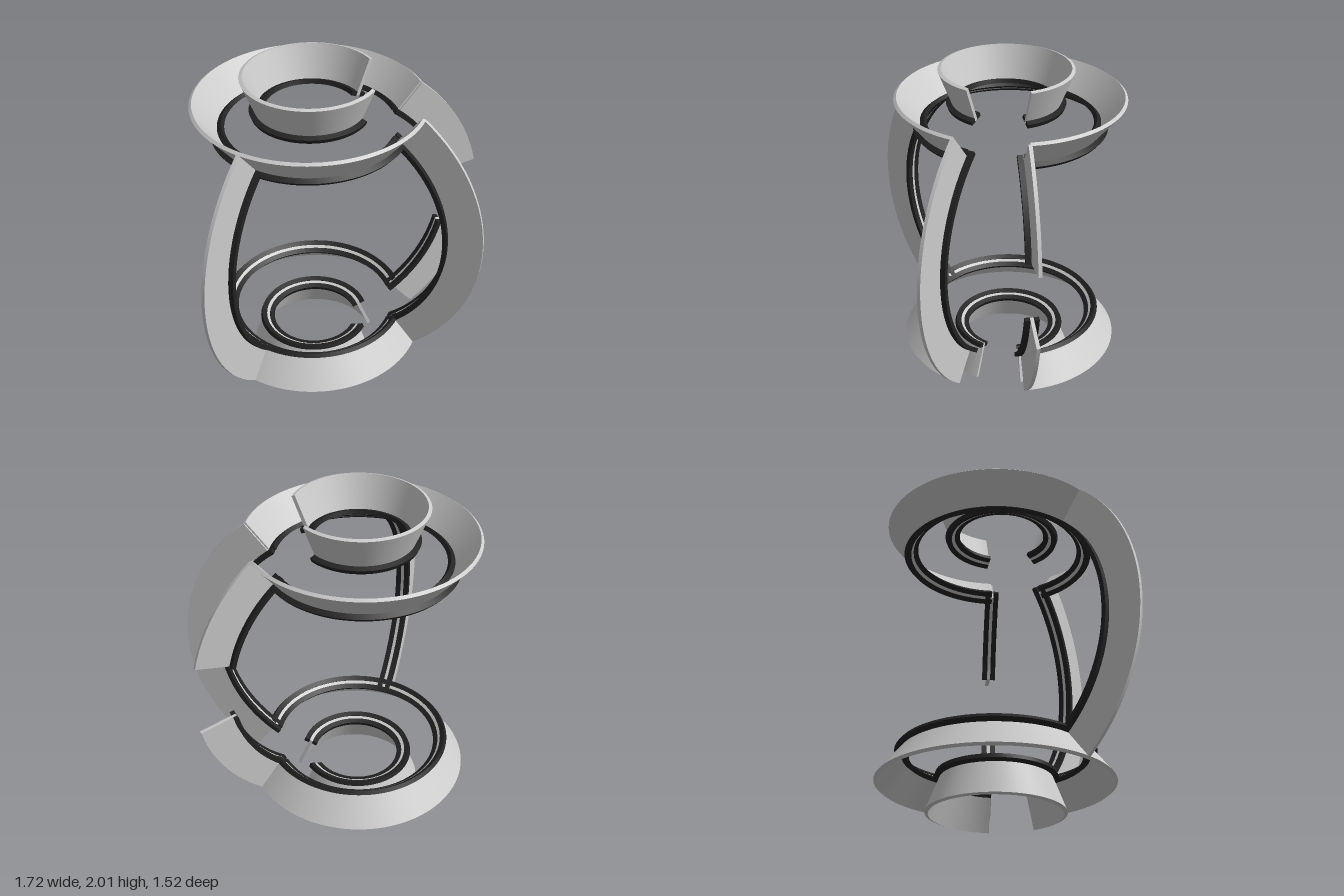
import * as THREE from 'three';
import { mergeGeometries, toCreasedNormals } from 'three/addons/utils/BufferGeometryUtils.js';

const rad = THREE.MathUtils.degToRad;
const grey = new THREE.MeshStandardMaterial({ color: 0xcccccc, side: THREE.DoubleSide });
const dark = new THREE.MeshStandardMaterial({ color: 0x222222, side: THREE.DoubleSide });

// All bands lie between two concentric spheres
const INNER = 0.84, OUTER = 1.072, LIP = 0.863;
const PLATE = 0.0105, FLANGE = 0.043;

// Rectangle u (distance from centre) by w (across), tilted by an elevation,
// swept round the y axis from phi a to b (degrees), with closed ends
function sweep(u0, u1, w0, w1, tilt, a, b) {
  const c = Math.cos(rad(tilt)), s = Math.sin(rad(tilt));
  const pts = [[u0, w0], [u1, w0], [u1, w1], [u0, w1]]
    .map(([u, w]) => new THREE.Vector2(u * c - w * s, u * s + w * c));
  const segments = Math.max(8, Math.ceil((b - a) / 3.5));
  const parts = [new THREE.LatheGeometry([...pts, pts[0].clone()], segments, rad(a), rad(b - a))];
  for (const phi of [a, b]) {
    parts.push(new THREE.ShapeGeometry(new THREE.Shape(pts)).rotateY(rad(phi - 90)));
  }
  // turn the far cap outwards
  const index = parts[2].index;
  for (let i = 0; i < index.count; i += 3) {
    const t = index.getX(i);
    index.setX(i, index.getX(i + 2));
    index.setX(i + 2, t);
  }
  return toCreasedNormals(mergeGeometries(parts), 0.5);
}

// Grey plate with a dark flange on each side of its inner edge
function band(name, tilt, a, b, extra = [0, 0]) {
  const group = new THREE.Group();
  group.name = name;
  const plate = new THREE.Mesh(sweep(INNER, OUTER, -PLATE, PLATE, tilt, a, b), grey);
  plate.name = name + 'Plate';
  group.add(plate);
  for (const [w0, w1] of [[-FLANGE, -PLATE], [PLATE, FLANGE]]) {
    const flange = new THREE.Mesh(
      sweep(INNER - 0.004, LIP, w0, w1, tilt, a - extra[0], b + extra[1]), dark);
    flange.name = name + 'Flange';
    group.add(flange);
  }
  return group;
}

// Ring open between two azimuths (degrees from +x towards +z)
function ring(name, elevation, from, to, x, z) {
  const g = band(name, elevation, 90 - to, 90 - from);
  g.position.set(x, 1, z);
  return g;
}

// Upright arc at an azimuth, between two elevations
function arc(name, azimuth, low, high, extra) {
  const g = band(name, 0, 90 + low, 90 + high, extra);
  g.rotation.set(Math.PI / 2, 0, 0);
  const turn = new THREE.Group();
  turn.name = name + 'Mount';
  turn.rotation.y = -rad(azimuth);
  turn.position.set(-0.178, 1, -0.077);
  turn.add(g);
  return turn;
}

export function createModel() {
  const model = new THREE.Group();
  model.name = 'sphereFrame';

  const EDGE = 51, JOIN = 2.5;      // elevation of the large rings, flange overlap
  const FRONT = 27, BACK = -9.4;    // azimuths of the opening

  // Large rings
  model.add(ring('upperLargeRing', EDGE, FRONT, 360 + BACK, -0.178, -0.077));
  model.add(ring('lowerLargeRing', -EDGE, FRONT, 360 + BACK, -0.178, -0.077));

  // Small rings, each with its own gap
  model.add(ring('upperSmallRing', 68.8, 33, 339, -0.175, -0.052));
  model.add(ring('lowerSmallRing', -68.8, 30, 348, -0.178, -0.074));

  // Full arcs
  model.add(arc('frontRightArc', 129.1, -EDGE, EDGE, [JOIN, JOIN]));
  model.add(arc('frontLeftArc', FRONT, -EDGE, EDGE, [JOIN, JOIN]));

  // Broken arc beside the opening
  model.add(arc('upperBrokenArc', BACK, 12.7, EDGE, [0, JOIN]));
  model.add(arc('lowerBrokenArc', BACK, -EDGE, -12.7, [JOIN, 0]));
  return model;
}
